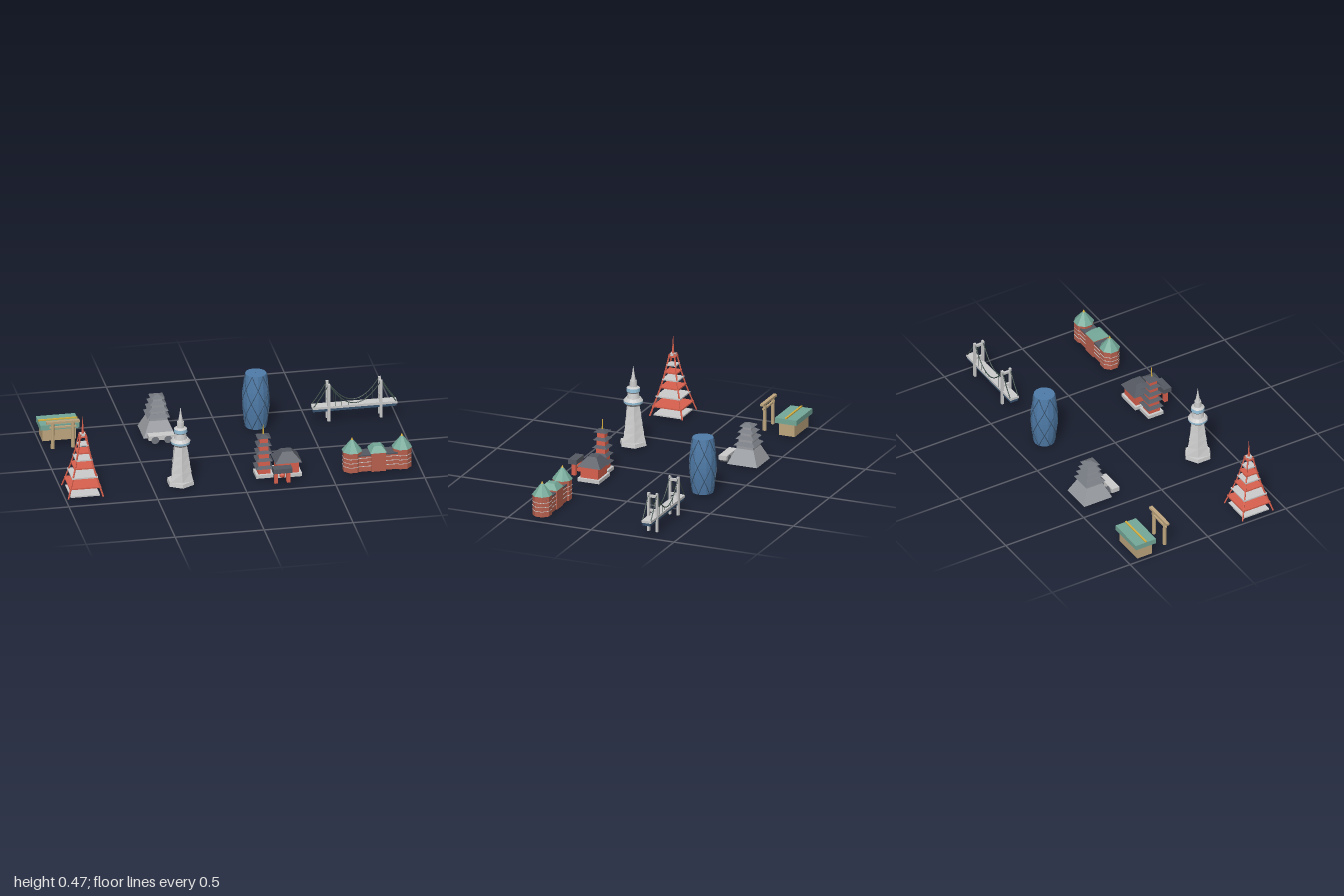
import * as THREE from 'three';

const C = { red: 0xd9604d, brick: 0xb9614f, white: 0xdedede, grey: 0x9a9da2, mid: 0x74787f, dark: 0x555962,
  green: 0x74a898, tan: 0xbfa67e, gold: 0xd9b23f, blue: 0x4f7ba8, navy: 0x38536f, sky: 0x93bfd8, cable: 0x3d4f4a };
const mats = {};
const mat = (c) => (mats[c] ??= new THREE.MeshStandardMaterial({ color: C[c], flatShading: true }));

function add(g, name, geo, color, x = 0, y = 0, z = 0) {
  const m = new THREE.Mesh(geo, mat(color));
  m.name = name;
  m.position.set(x, y, z);
  g.add(m);
  return m;
}
// box and prisms placed by their bottom height
const box = (g, n, c, w, h, d, x, y, z) => add(g, n, new THREE.BoxGeometry(w, h, d), c, x, y + h / 2, z);
const prism = (g, n, c, rb, rt, h, sides, x, y, z, turn = 0) =>
  add(g, n, new THREE.CylinderGeometry(rt, rb, h, sides).rotateY(turn), c, x, y + h / 2, z);
// four-sided frustum given by half widths; zs stretches its depth
const frustum = (g, n, c, hb, ht, h, x, y, z, zs = 1) => {
  const m = prism(g, n, c, hb * Math.SQRT2, ht * Math.SQRT2, h, 4, x, y, z, Math.PI / 4);
  m.scale.z = zs;
  return m;
};
function bar(g, n, c, a, b, r, sides = 4) {
  const A = new THREE.Vector3(...a), d = new THREE.Vector3(...b).sub(A);
  const m = add(g, n, new THREE.CylinderGeometry(r, r, d.length(), sides), c);
  m.position.copy(A).addScaledVector(d, 0.5);
  m.quaternion.setFromUnitVectors(new THREE.Vector3(0, 1, 0), d.normalize());
}
const tube = (g, n, c, pts, r, seg) => add(g, n, new THREE.TubeGeometry(
  new THREE.CatmullRomCurve3(pts.map((p) => new THREE.Vector3(...p))), seg, r, 5), c);

function group(root, name, x, z) {
  const g = new THREE.Group();
  g.name = name;
  g.position.set(x, 0, z);
  root.add(g);
  return g;
}

function latticeTower(g) {
  const leg = [[0.01, 0.098], [0.06, 0.083], [0.17, 0.052], [0.25, 0.034], [0.36, 0.014]];
  for (const sx of [-1, 1]) for (const sz of [-1, 1])
    for (let i = 0; i < 4; i++) {
      const [y0, r0] = leg[i], [y1, r1] = leg[i + 1];
      bar(g, 'leg', 'red', [sx * r0, y0, sz * r0], [sx * r1, y1, sz * r1], 0.005);
    }
  // alternating platforms
  [[0.01, 0.082], [0.06, 0.088], [0.115, 0.073], [0.165, 0.057], [0.21, 0.047], [0.25, 0.038], [0.292, 0.029], [0.34, 0.022]]
    .forEach(([y, r], i) => box(g, 'platform', i % 2 ? 'red' : 'white', 2 * r, 0.008, 2 * r, 0, y, 0));
  box(g, 'upperDeck', 'white', 0.03, 0.012, 0.03, 0, 0.348, 0);
  prism(g, 'mast', 'red', 0.008, 0.004, 0.06, 6, 0, 0.355, 0);
  prism(g, 'antenna', 'red', 0.004, 0.001, 0.052, 6, 0, 0.41, 0);
}

function gateAndHall(g) {
  box(g, 'hallWall', 'tan', 0.19, 0.075, 0.095, 0, 0.01, -0.397);
  box(g, 'hallRoof', 'green', 0.22, 0.03, 0.13, 0, 0.083, -0.397);
  box(g, 'hallRidge', 'gold', 0.22, 0.008, 0.01, 0, 0.112, -0.397);
  for (const s of [-1, 1]) prism(g, 'gatePost', 'tan', 0.011, 0.01, 0.155, 8, s * 0.057, 0.01, -0.247);
  box(g, 'gateLintel', 'tan', 0.187, 0.013, 0.021, 0, 0.161, -0.247);
  box(g, 'gateTieBeam', 'tan', 0.15, 0.01, 0.012, 0, 0.132, -0.247);
}

// section with six corners, alternating between two radii
function loftSix(lo, hi) {
  const geo = new THREE.CylinderGeometry(1, 1, hi[0] - lo[0], 6).rotateY(Math.PI);
  const p = geo.attributes.position;
  for (let i = 0; i < p.count; i++) {
    const x = p.getX(i), z = p.getZ(i);
    if (Math.hypot(x, z) < 0.5) continue;
    const k = ((Math.round(Math.atan2(x, z) / (Math.PI / 3)) % 2) + 2) % 2;
    const r = (p.getY(i) > 0 ? hi : lo)[k ? 2 : 1];
    p.setXYZ(i, x * r, p.getY(i), z * r);
  }
  return geo;
}

function broadcastTower(g) {
  prism(g, 'plinth', 'white', 0.08, 0.076, 0.022, 6, 0, 0.01, 0);
  const s = [[0.03, 0.052, 0.073], [0.085, 0.049, 0.062], [0.135, 0.046, 0.054], [0.185, 0.042, 0.046], [0.24, 0.037, 0.038]];
  for (let i = 0; i < 4; i++) {
    const [y0, a, b] = s[i];
    add(g, 'shaft', loftSix([y0, a + 0.003, b + 0.003], s[i + 1]), 'white', 0, (y0 + s[i + 1][0]) / 2, 0);
  }
  const rings = [['deckUnderside', 'white', 0.038, 0.053, 0.24, 0.256], ['deckWindows', 'sky', 0.054, 0.054, 0.256, 0.268],
    ['deckTop', 'white', 0.055, 0.042, 0.268, 0.284], ['upperShaft', 'white', 0.036, 0.03, 0.284, 0.314],
    ['galleryFloor', 'white', 0.032, 0.038, 0.314, 0.322], ['galleryWindows', 'sky', 0.038, 0.036, 0.322, 0.342],
    ['galleryRoof', 'white', 0.037, 0.024, 0.342, 0.35], ['neck', 'white', 0.021, 0.019, 0.35, 0.384],
    ['spire', 'white', 0.014, 0.006, 0.384, 0.43], ['spireTip', 'white', 0.006, 0.001, 0.43, 0.467]];
  for (const [n, c, rb, rt, y0, y1] of rings) prism(g, n, c, rb, rt, y1 - y0, 16, 0, y0, 0);
}

function castle(g) {
  frustum(g, 'stoneBase', 'grey', 0.09, 0.052, 0.085, 0, 0.01, 0);
  [[0.095, 0.05], [0.132, 0.042], [0.167, 0.034], [0.2, 0.026]].forEach(([y, r], i) => {
    box(g, 'keepWall', 'grey', 2 * r, 0.024, 2 * r, 0, y, 0);
    frustum(g, 'keepRoof', 'mid', r + 0.014, i < 3 ? r - 0.008 : 0.008, 0.016, 0, y + 0.02, 0);
  });
  // double-arched bridge in front
  box(g, 'bridgeDeck', 'white', 0.145, 0.026, 0.048, 0, 0.021, 0.124);
  for (const s of [-1, 1])
    add(g, 'bridgeArch', new THREE.CylinderGeometry(0.022, 0.022, 0.05, 14).rotateX(Math.PI / 2), 'mid', s * 0.036, 0.022, 0.124);
}

function cocoonTower(g) {
  const radius = (t) => 0.058 + 0.017 * Math.sin(Math.PI * Math.min(1, t * 0.95 + 0.03));
  const prof = [[0.001, 0.01]];
  for (let i = 0; i <= 10; i++) prof.push([radius(i / 10), 0.01 + 0.032 * i]);
  prof.push([0.001, 0.33]);
  add(g, 'glassBody', new THREE.LatheGeometry(prof.map((p) => new THREE.Vector2(...p)), 14), 'blue');
  // diagonal ribs winding both ways
  for (let k = 0; k < 12; k++) {
    const dir = k % 2 ? 1 : -1, pts = [];
    for (let i = 0; i <= 8; i++) {
      const t = i / 8, a = (Math.floor(k / 2) / 6) * Math.PI * 2 + dir * t * 2.1, r = radius(t);
      pts.push([r * Math.cos(a), 0.012 + 0.318 * t, r * Math.sin(a)]);
    }
    tube(g, 'diagonalRib', 'navy', pts, 0.0022, 24);
  }
}

function temple(g) {
  // pagoda
  box(g, 'pagodaBase', 'white', 0.096, 0.02, 0.096, 0.128, 0.01, 0.31);
  for (let i = 0; i < 5; i++) {
    const y = 0.03 + i * 0.045, r = 0.034 - i * 0.003;
    box(g, 'pagodaStorey', 'red', 2 * r, 0.04, 2 * r, 0.128, y, 0.31);
    frustum(g, 'pagodaRoof', 'dark', r + 0.016, i < 4 ? r - 0.004 : 0.004, 0.014, 0.128, y + 0.034, 0.31);
  }
  prism(g, 'pagodaSpire', 'gold', 0.005, 0.002, 0.06, 6, 0.128, 0.255, 0.31);
  // main hall
  box(g, 'hallBase', 'white', 0.15, 0.02, 0.13, 0.26, 0.01, 0.305);
  box(g, 'hallWall', 'red', 0.122, 0.07, 0.105, 0.26, 0.03, 0.305);
  frustum(g, 'hallRoof', 'dark', 0.075, 0.028, 0.052, 0.26, 0.095, 0.303, 0.92);
  // lantern gate
  box(g, 'gateRoof', 'dark', 0.105, 0.027, 0.05, 0.212, 0.076, 0.432);
  for (const s of [-1, 1]) box(g, 'gatePillar', 'red', 0.02, 0.068, 0.024, 0.212 + s * 0.035, 0.01, 0.428);
  add(g, 'lantern', new THREE.SphereGeometry(0.016, 10, 8), 'red', 0.212, 0.055, 0.43);
}

function station(g) {
  box(g, 'mainBlock', 'brick', 0.34, 0.092, 0.08, 0, 0.01, 0);
  box(g, 'mainRoof', 'dark', 0.34, 0.008, 0.082, 0, 0.102, 0);
  for (const y of [0.04, 0.065, 0.09]) box(g, 'stoneBand', 'white', 0.3, 0.003, 0.084, 0, y, 0);
  box(g, 'centreBlock', 'brick', 0.08, 0.11, 0.1, 0, 0.01, 0.003);
  frustum(g, 'centreRoof', 'green', 0.046, 0.022, 0.032, 0, 0.12, 0.003, 1.1);
  for (const s of [-1, 1]) {
    const x = s * 0.14, t = Math.PI / 8;
    prism(g, 'cornerTower', 'brick', 0.054, 0.054, 0.118, 8, x, 0.01, 0, t);
    for (const y of [0.04, 0.065, 0.09]) prism(g, 'towerBand', 'white', 0.0555, 0.0555, 0.003, 8, x, y, 0, t);
    prism(g, 'domeRoof', 'green', 0.058, 0.008, 0.064, 8, x, 0.127, 0, t);
    prism(g, 'finial', 'gold', 0.008, 0.001, 0.018, 8, x, 0.188, 0);
  }
}

function bridge(g) {
  box(g, 'roadDeck', 'white', 0.475, 0.014, 0.056, 0, 0.086, 0);
  box(g, 'lowerDeck', 'navy', 0.47, 0.016, 0.046, 0, 0.07, 0);
  for (const x of [-0.147, 0.147]) {
    for (const s of [-1, 1]) box(g, 'towerLeg', 'white', 0.015, 0.224, 0.013, x, 0.01, s * 0.025);
    for (const y of [0.125, 0.208]) box(g, 'crossBeam', 'white', 0.012, 0.014, 0.05, x, y, 0);
  }
  // suspension cables and hangers
  for (const z of [-0.025, 0.025]) {
    const mid = [];
    for (let i = 0; i <= 8; i++) {
      const u = i / 4 - 1;
      mid.push([0.147 * u, 0.11 + 0.122 * u * u, z]);
      if (i > 0 && i < 8) bar(g, 'hanger', 'cable', [0.147 * u, 0.098, z], [0.147 * u, 0.11 + 0.122 * u * u, z], 0.001);
    }
    tube(g, 'mainCable', 'cable', mid, 0.003, 20);
    for (const s of [-1, 1])
      tube(g, 'sideCable', 'cable', [[s * 0.147, 0.232, z], [s * 0.19, 0.16, z], [s * 0.232, 0.1, z]], 0.003, 8);
  }
}

export function createModel() {
  const root = new THREE.Group();
  root.name = 'cityLandmarks';
  latticeTower(group(root, 'latticeTower', -0.89, 0.328));
  gateAndHall(group(root, 'gateAndHall', -0.89, 0));
  broadcastTower(group(root, 'broadcastTower', -0.34, 0.328));
  castle(group(root, 'castle', -0.34, -0.365));
  cocoonTower(group(root, 'cocoonTower', 0.21, -0.33));
  temple(group(root, 'temple', 0, 0));
  station(group(root, 'station', 0.762, 0.336));
  bridge(group(root, 'bridge', 0.763, -0.333));
  return root;
}
